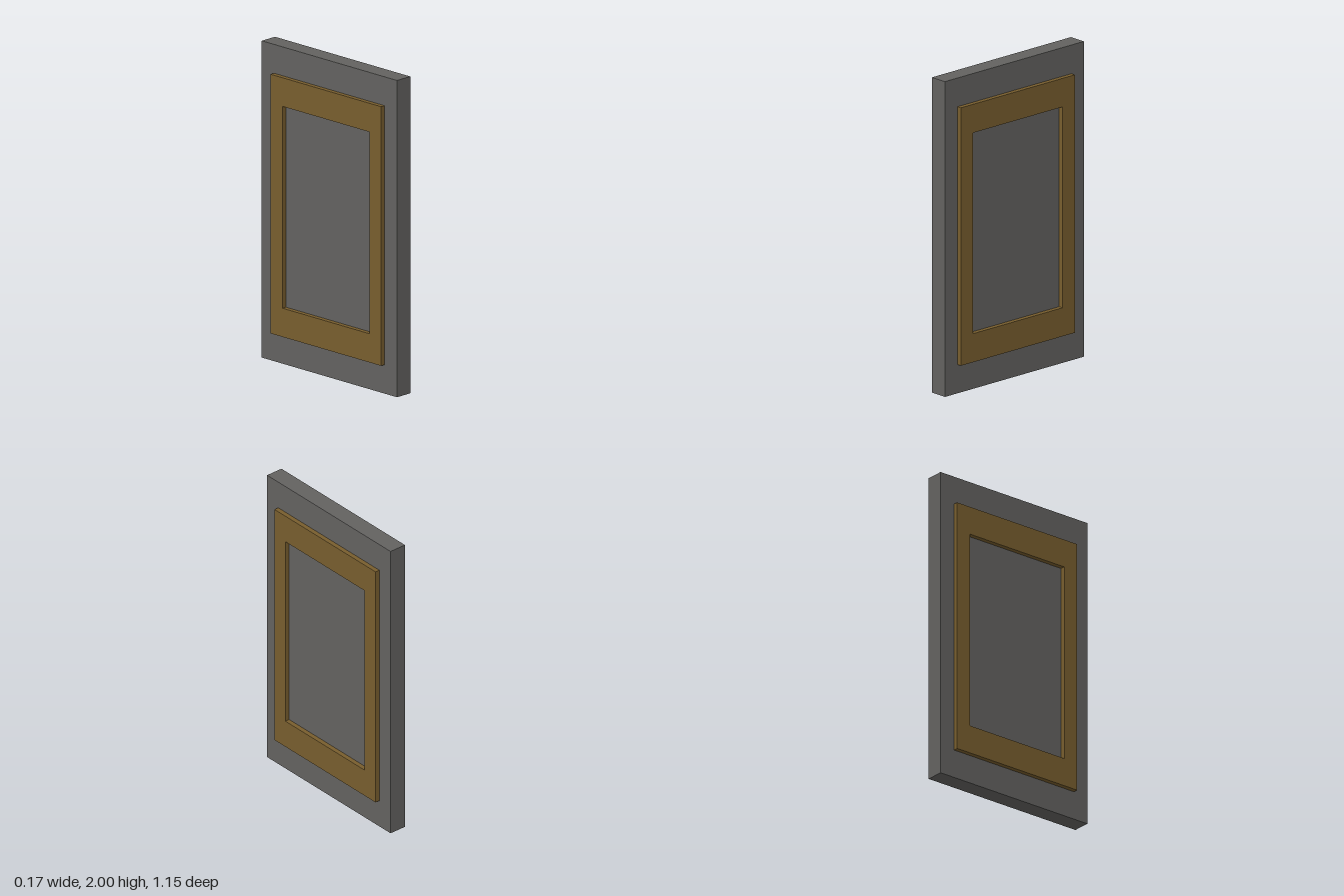
import * as THREE from 'three';

const WIDTH = 1.146, HEIGHT = 2, THICKNESS = 0.114, TRIM_DEPTH = 0.03;

// Rectangle outline centred on the origin
function rectangle(PathType, w, h) {
  const path = new PathType();
  path.moveTo(-w / 2, -h / 2);
  path.lineTo(w / 2, -h / 2);
  path.lineTo(w / 2, h / 2);
  path.lineTo(-w / 2, h / 2);
  path.closePath();
  return path;
}

export function createModel() {
  const group = new THREE.Group();
  group.name = 'framedPanel';

  const slate = new THREE.MeshStandardMaterial({ color: 0x636260 });
  slate.name = 'dark grey';
  const bronze = new THREE.MeshStandardMaterial({ color: 0x785e2e });
  bronze.name = 'bronze';

  // Upright slab
  const slab = new THREE.Mesh(new THREE.BoxGeometry(THICKNESS, HEIGHT, WIDTH), slate);
  slab.name = 'slab';
  slab.position.y = HEIGHT / 2;
  group.add(slab);

  // Raised rectangular trim on both broad faces
  const outline = rectangle(THREE.Shape, 0.938, 1.636);
  outline.holes.push(rectangle(THREE.Path, 0.736, 1.274));
  const trimGeometry = new THREE.ExtrudeGeometry(outline, { depth: TRIM_DEPTH, bevelEnabled: false });
  for (const side of [1, -1]) {
    const trim = new THREE.Mesh(trimGeometry, bronze);
    trim.name = side > 0 ? 'leftTrim' : 'rightTrim';
    trim.rotation.y = side * Math.PI / 2;
    trim.position.set(side * THICKNESS / 2, HEIGHT / 2, 0);
    group.add(trim);
  }

  return group;
}
